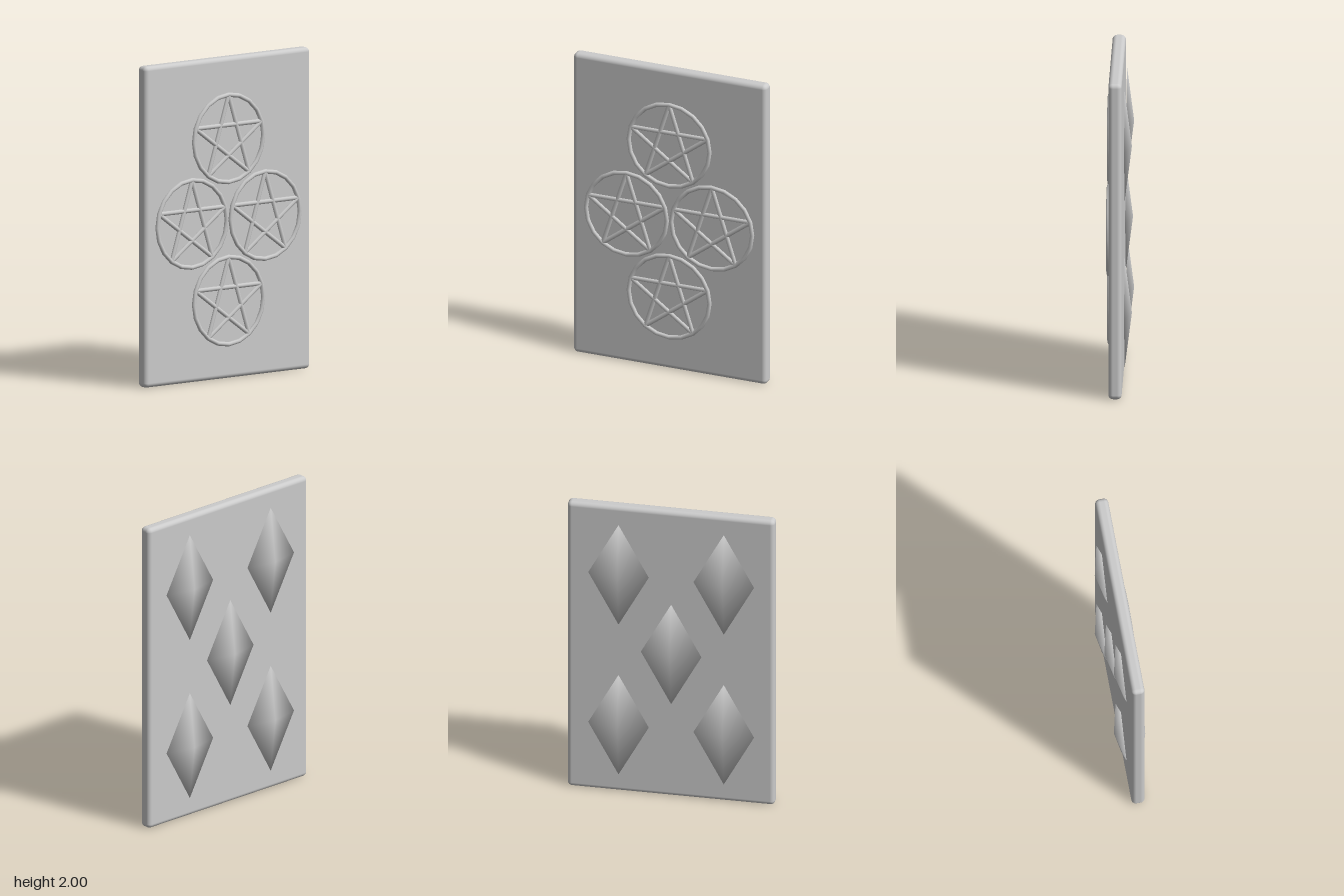
import * as THREE from 'three';
import { RoundedBoxGeometry } from 'three/addons/geometries/RoundedBoxGeometry.js';

const material = new THREE.MeshStandardMaterial({ color: 0xcccccc });

function addMesh(parent, geometry, name, x = 0, y = 0, z = 0) {
  const mesh = new THREE.Mesh(geometry, material);
  mesh.name = name;
  mesh.position.set(x, y, z);
  parent.add(mesh);
  return mesh;
}

// Shallow four-sided gem pointing to -z; shared corners give soft shading
function diamondGeometry(halfWidth, halfHeight, depth) {
  const geometry = new THREE.BufferGeometry();
  geometry.setAttribute('position', new THREE.Float32BufferAttribute([
    halfWidth, 0, 0, 0, halfHeight, 0, -halfWidth, 0, 0, 0, -halfHeight, 0, 0, 0, -depth,
  ], 3));
  const index = [0, 1, 2, 0, 2, 3];
  for (let i = 0; i < 4; i++) index.push((i + 1) % 4, i, 4);
  geometry.setIndex(index);
  geometry.computeVertexNormals();
  return geometry;
}

// Ring with a five-pointed star of straight bars inside
function createEmblem(radius) {
  const emblem = new THREE.Group();
  emblem.name = 'starEmblem';
  addMesh(emblem, new THREE.TorusGeometry(radius, 0.014, 8, 20), 'ring');

  const point = (i) => {
    const a = Math.PI / 2 + (i * Math.PI * 2) / 5;
    return new THREE.Vector3(Math.cos(a), Math.sin(a), 0).multiplyScalar(radius);
  };
  const up = new THREE.Vector3(0, 1, 0);
  for (let i = 0; i < 5; i++) {
    const a = point(i), b = point(i + 2);
    const span = b.clone().sub(a);
    const bar = addMesh(emblem, new THREE.CylinderGeometry(0.014, 0.014, span.length(), 8), 'starBar');
    bar.position.copy(a).add(b).multiplyScalar(0.5);
    bar.quaternion.setFromUnitVectors(up, span.normalize());
    bar.scale.z = 0.85;
  }
  return emblem;
}

export function createModel() {
  const model = new THREE.Group();
  model.name = 'card';

  // Slab with rounded edges
  addMesh(model, new RoundedBoxGeometry(1.3, 2, 0.082, 4, 0.028), 'slab', 0, 1, 0.019);

  // Four emblems on the front
  for (const [x, y] of [[0, 1.495], [-0.287, 0.99], [0.287, 0.99], [0, 0.485]]) {
    const emblem = createEmblem(0.272);
    emblem.position.set(x, y, 0.063);
    model.add(emblem);
  }

  // Five diamonds hovering just off the back
  const gem = diamondGeometry(0.19, 0.35, 0.045);
  for (const [x, y] of [[-0.335, 1.53], [0.325, 1.53], [-0.005, 1.005], [-0.335, 0.475], [0.325, 0.475]]) {
    addMesh(model, gem, 'backDiamond', x, y, -0.034);
  }
  return model;
}
